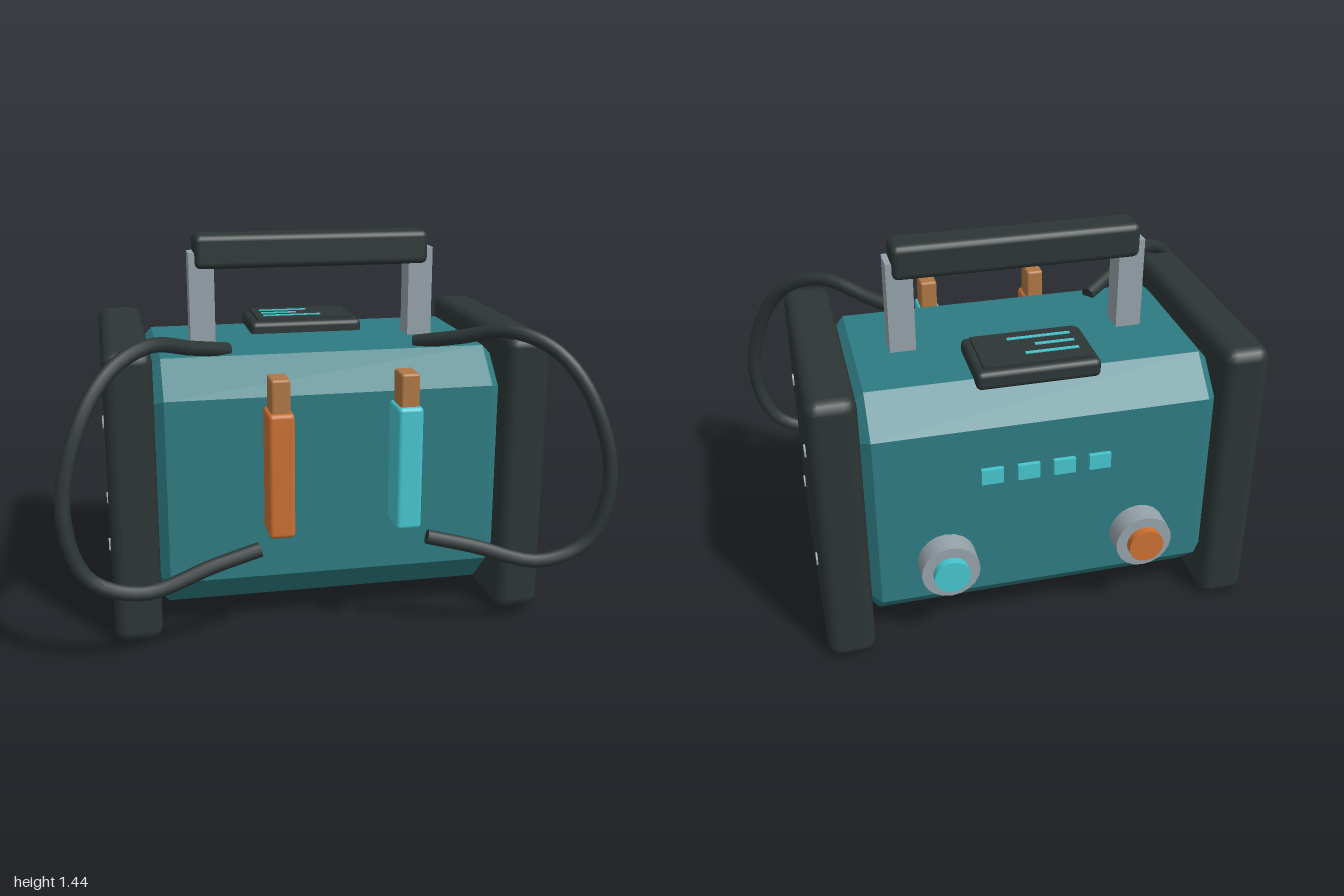
import * as THREE from 'three';
import { RoundedBoxGeometry } from 'three/addons/geometries/RoundedBoxGeometry.js';

const material = (name, color) => {
  const m = new THREE.MeshStandardMaterial({ color });
  m.name = name;
  return m;
};

export function createModel() {
  const teal = material('teal casing', 0x2e7b82);
  const dark = material('dark rubber', 0x2d3535);
  const grey = material('grey metal', 0x96a3aa);
  const cyan = material('cyan accent', 0x46c6ce);
  const orange = material('orange accent', 0xcb7033);
  const copper = material('copper', 0xb07744);

  const model = new THREE.Group();
  model.name = 'portablePowerUnit';

  const add = (name, geometry, mat, x = 0, y = 0, z = 0) => {
    const mesh = new THREE.Mesh(geometry, mat);
    mesh.name = name;
    mesh.position.set(x, y, z);
    model.add(mesh);
    return mesh;
  };
  const box = (w, h, d) => new THREE.BoxGeometry(w, h, d);
  const rounded = (w, h, d, r) => new RoundedBoxGeometry(w, h, d, 2, r);

  // Casing: octagonal section swept along x, with bevelled ends
  const bevel = 0.04, hw = 0.43 - bevel, hh = 0.475 - bevel, cut = 0.105;
  const section = new THREE.Shape([
    [hw, -hh + cut], [hw, hh - cut], [hw - cut, hh], [-hw + cut, hh],
    [-hw, hh - cut], [-hw, -hh + cut], [-hw + cut, -hh], [hw - cut, -hh],
  ].map(([x, y]) => new THREE.Vector2(x, y)));
  const length = 1.3 - 2 * bevel;
  const casing = new THREE.ExtrudeGeometry(section, {
    depth: length, bevelEnabled: true, bevelThickness: bevel, bevelSize: bevel, bevelSegments: 1,
  });
  casing.translate(0, 0, -length / 2).rotateY(Math.PI / 2);
  add('casing', casing, teal, 0, 0.555, -0.1);

  // Display on top
  add('displayBezel', rounded(0.45, 0.07, 0.285, 0.02), dark, 0, 1.04, -0.313);
  add('displayScreen', box(0.39, 0.02, 0.235), dark, 0, 1.077, -0.315);
  [[0.195, -0.365], [0.145, -0.307], [0.235, -0.25]].forEach(([w, z]) =>
    add('displayLine', box(w, 0.006, 0.014), cyan, -0.165 + w / 2, 1.088, z));

  // Carrying handle
  add('handleGrip', rounded(0.914, 0.13, 0.133, 0.025), dark, 0, 1.377, -0.093);

  for (const side of [-1, 1]) {
    add('handlePost', box(0.096, 0.365, 0.1), grey, side * 0.43, 1.193, -0.092);

    // End guard with hexagonal bolts
    add('endGuard', rounded(0.175, 1.095, 0.945, 0.045), dark, side * 0.733, 0.5475, -0.0925);
    for (const y of [0.315, 0.795]) for (const z of [-0.35, 0.17]) {
      const bolt = new THREE.CylinderGeometry(0.026, 0.026, 0.03, 6).toNonIndexed();
      bolt.rotateY(Math.PI / 2).rotateZ(Math.PI / 2);
      bolt.computeVertexNormals();
      add('bolt', bolt, grey, side * 0.812, y, z);
    }

    // Hand-held electrode with copper tip
    const accent = side < 0 ? orange : cyan;
    add('electrodeBody', rounded(0.092, 0.45, 0.138, 0.015), accent, side * 0.228, 0.675, 0.503);
    add('electrodeTip', rounded(0.068, 0.14, 0.103, 0.01), copper, side * 0.228, 0.948, 0.503);

    // Looping cable
    const path = new THREE.CatmullRomCurve3([
      [0.36, 1.04, 0.14], [0.5, 1.075, 0.25], [0.65, 1.115, 0.37], [0.79, 1.06, 0.475],
      [0.9, 0.905, 0.56], [0.97, 0.61, 0.612], [0.9, 0.375, 0.611], [0.72, 0.302, 0.6],
      [0.47, 0.365, 0.56], [0.305, 0.405, 0.54],
    ].map(([x, y, z]) => new THREE.Vector3(side * x, y, z)));
    add('cable', new THREE.TubeGeometry(path, 48, 0.027, 10), dark);
    for (const t of [0, 1]) {
      const cap = add('cableEnd', new THREE.CircleGeometry(0.027, 10), dark);
      const point = path.getPointAt(t);
      cap.position.copy(point);
      cap.lookAt(point.clone().addScaledVector(path.getTangentAt(t), t ? 1 : -1));
    }

    // Rear connector
    const socket = new THREE.CylinderGeometry(0.107, 0.107, 0.1, 20).rotateX(Math.PI / 2);
    add('connectorRing', socket, grey, side * 0.365, 0.37, -0.565);
    const plug = new THREE.CylinderGeometry(0.066, 0.066, 0.05, 20).rotateX(Math.PI / 2);
    add('connectorPlug', plug, accent, side * 0.365, 0.37, -0.62);
  }

  // Row of rear indicator lights
  for (let i = 0; i < 4; i++)
    add('indicatorLight', box(0.08, 0.06, 0.03), cyan, -0.203 + i * 0.132, 0.71, -0.532);

  return model;
}
